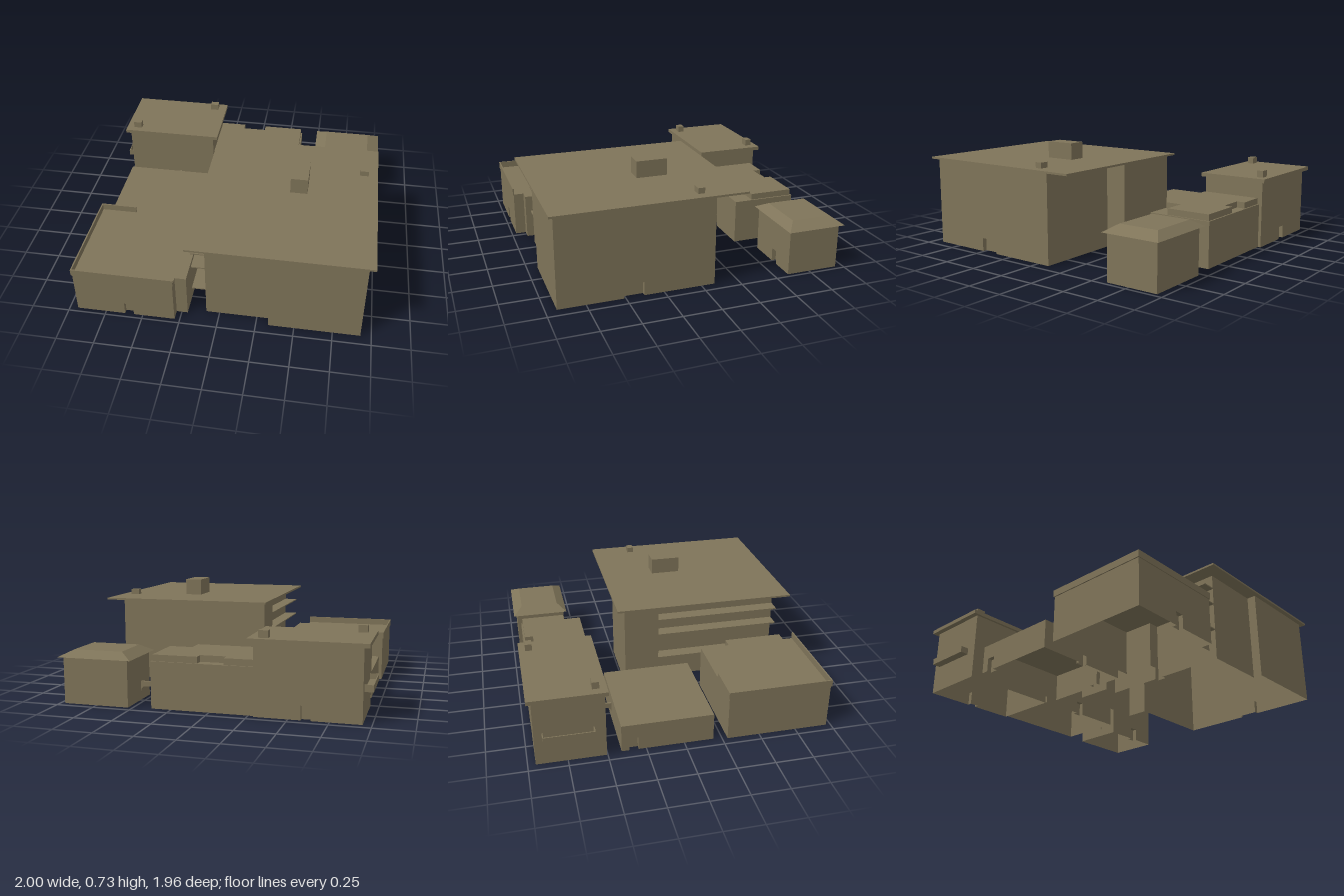
import * as THREE from 'three';
import { mergeGeometries } from 'three/addons/utils/BufferGeometryUtils.js';

const clay = new THREE.MeshStandardMaterial({ color: 0x7f7459, side: THREE.DoubleSide });
clay.name = 'clay';

const DOOR_W = 0.06, DOOR_H = 0.09, DOOR_DEPTH = 0.03;

// Footprint in order front, right, back, left
const rect = (x0, x1, z0, z1) => [[x0, z1], [x1, z1], [x1, z0], [x0, z0]];

function add(parent, name, geometry) {
  const mesh = new THREE.Mesh(geometry, clay);
  mesh.name = name;
  parent.add(mesh);
  return mesh;
}

function box(parent, name, x0, x1, y0, y1, z0, z1) {
  const g = new THREE.BoxGeometry(x1 - x0, y1 - y0, z1 - z0);
  g.translate((x0 + x1) / 2, (y0 + y1) / 2, (z0 + z1) / 2);
  return add(parent, name, g);
}

// Wall in its own plane, with a notch and a shallow recess for a door
function wallGeometry(length, y0, y1, door) {
  const s = new THREE.Shape();
  s.moveTo(0, y0);
  const pieces = [];
  if (door) {
    const w = door.width ?? DOOR_W, a = door.at - w / 2, b = a + w;
    s.lineTo(a, y0).lineTo(a, DOOR_H).lineTo(b, DOOR_H).lineTo(b, y0);
    pieces.push(new THREE.PlaneGeometry(w, DOOR_H).translate(door.at, DOOR_H / 2, -DOOR_DEPTH));
    pieces.push(new THREE.PlaneGeometry(w, DOOR_DEPTH).rotateX(Math.PI / 2)
      .translate(door.at, DOOR_H, -DOOR_DEPTH / 2));
    pieces.push(new THREE.PlaneGeometry(DOOR_DEPTH, DOOR_H).rotateY(Math.PI / 2)
      .translate(a, DOOR_H / 2, -DOOR_DEPTH / 2));
    pieces.push(new THREE.PlaneGeometry(DOOR_DEPTH, DOOR_H).rotateY(-Math.PI / 2)
      .translate(b, DOOR_H / 2, -DOOR_DEPTH / 2));
  }
  s.lineTo(length, y0).lineTo(length, y1).lineTo(0, y1).closePath();
  pieces.push(new THREE.ShapeGeometry(s));
  return mergeGeometries(pieces);
}

// Hollow block: walls and a flat top, open underneath; doors keyed by wall number
function shell(parent, name, points, y0, y1, doors = {}) {
  const pieces = points.map(([x, z], i) => {
    const [nx, nz] = points[(i + 1) % points.length];
    const dir = new THREE.Vector3(nx - x, 0, nz - z);
    const length = dir.length();
    dir.normalize();
    const up = new THREE.Vector3(0, 1, 0);
    const m = new THREE.Matrix4().makeBasis(dir, up, dir.clone().cross(up)).setPosition(x, 0, z);
    return wallGeometry(length, y0, y1, doors[i]).applyMatrix4(m);
  });
  const top = new THREE.Shape(points.map(([x, z]) => new THREE.Vector2(x, -z)));
  pieces.push(new THREE.ShapeGeometry(top).rotateX(-Math.PI / 2).translate(0, y1, 0));
  return add(parent, name, mergeGeometries(pieces));
}

// Thin linking wall with an arch below, running along x from the origin
function archGeometry(length) {
  const s = new THREE.Shape();
  const r = Math.min(0.04, length / 2);
  s.moveTo(0, 0.05).quadraticCurveTo(0, 0.092, r, 0.092);
  s.lineTo(length - r, 0.092).quadraticCurveTo(length, 0.092, length, 0.05);
  s.lineTo(length, 0.125).lineTo(0, 0.125).closePath();
  return new THREE.ExtrudeGeometry(s, { depth: 0.015, bevelEnabled: false, curveSegments: 6 })
    .translate(0, 0, -0.0075);
}

// Hipped roof with a flat top
function hipGeometry() {
  const low = rect(0.5, 1.0, -0.975, -0.575).map(([x, z]) => [x, 0.305, z]);
  const high = rect(0.58, 0.91, -0.91, -0.64).map(([x, z]) => [x, 0.35, z]);
  const pos = [];
  const quad = (a, b, c, d) => pos.push(...a, ...b, ...c, ...a, ...c, ...d);
  for (let i = 0; i < 4; i++) {
    const j = (i + 1) % 4;
    quad(low[i], low[j], high[j], high[i]);
  }
  quad(...high);
  quad(low[3], low[2], low[1], low[0]);
  const g = new THREE.BufferGeometry();
  g.setAttribute('position', new THREE.Float32BufferAttribute(pos, 3));
  g.computeVertexNormals();
  return g;
}

function group(parent, name) {
  const g = new THREE.Group();
  g.name = name;
  parent.add(g);
  return g;
}

export function createModel() {
  const model = new THREE.Group();
  model.name = 'buildingCompound';

  // Main hall with stepped footprint and side balconies
  const hall = group(model, 'mainHall');
  shell(hall, 'hallWalls', [
    [-0.09, 0.87], [0.33, 0.87], [0.33, 0.93], [0.93, 0.93], [0.93, -0.09],
    [0.33, -0.09], [0.33, -0.24], [-0.18, -0.24], [-0.18, 0], [-0.09, 0],
  ], 0, 0.6, { 3: { at: 0.485, width: 0.13 }, 9: { at: 0.4 } });
  box(hall, 'hallRoof', -0.2, 0.97, 0.6, 0.613, -0.29, 0.96);
  for (const y of [0.2, 0.385, 0.5]) box(hall, 'hallBalcony', -0.18, -0.09, y, y + 0.008, 0, 0.87);
  box(hall, 'roofHouse', 0.387, 0.503, 0.613, 0.725, 0.08, 0.287);
  box(hall, 'hallChimney', 0.845, 0.905, 0.613, 0.65, -0.02, 0.025);

  // Front left block with partial parapet and side annex
  const front = group(model, 'frontBlock');
  shell(front, 'frontWalls', [
    [-0.945, 0.97], [-0.285, 0.97], [-0.285, 0.9], [-0.21, 0.9],
    [-0.21, 0.49], [-0.285, 0.49], [-0.285, 0.285], [-0.945, 0.285],
  ], 0, 0.305, { 0: { at: 0.355 } });
  box(front, 'frontParapet', -0.952, -0.28, 0.305, 0.35, 0.967, 0.976);
  box(front, 'leftParapet', -0.952, -0.943, 0.305, 0.35, 0.28, 0.976);
  box(front, 'backParapet', -0.952, -0.7, 0.305, 0.35, 0.28, 0.289);

  // Low middle block
  const middle = group(model, 'middleBlock');
  shell(middle, 'middleWalls', rect(-0.93, -0.27, -0.41, 0.193), 0, 0.188,
    { 0: { at: 0.33 }, 1: { at: 0.2 }, 3: { at: 0.08 } });

  // Tall rear block with overhanging roof, chimneys and balcony
  const tower = group(model, 'tallBlock');
  shell(tower, 'tallWalls', rect(-0.945, -0.288, -0.95, -0.505), 0, 0.458, { 2: { at: 0.32 } });
  box(tower, 'tallRoof', -0.98, -0.252, 0.458, 0.484, -0.98, -0.487);
  box(tower, 'tallChimney', -0.925, -0.865, 0.484, 0.53, -0.58, -0.535);
  box(tower, 'tallChimney', -0.375, -0.315, 0.484, 0.53, -0.937, -0.892);
  box(tower, 'balconyFloor', -1, -0.945, 0.185, 0.193, -0.9, -0.577);
  box(tower, 'balconyRail', -1, -0.994, 0.193, 0.228, -0.9, -0.577);
  for (const z of [-0.9, -0.583]) box(tower, 'balconyEnd', -0.994, -0.945, 0.193, 0.228, z, z + 0.006);

  // Rear centre block with a raised, notched roof
  const rear = group(model, 'rearBlock');
  shell(rear, 'rearWalls', rect(-0.288, 0.38, -0.93, -0.488), 0, 0.303, { 0: { at: 0.33 } });
  shell(rear, 'raisedRoof', [
    [-0.28, -0.503], [0.212, -0.503], [0.212, -0.615], [0.37, -0.615], [0.37, -0.92],
    [0.075, -0.92], [0.075, -0.862], [-0.095, -0.862], [-0.095, -0.92], [-0.28, -0.92],
  ], 0.303, 0.345);

  // Small house with hipped roof
  const house = group(model, 'smallHouse');
  shell(house, 'houseWalls', rect(0.53, 0.97, -0.95, -0.595), 0, 0.305, { 0: { at: 0.245 } });
  add(house, 'hippedRoof', hipGeometry());

  // Arched links between the blocks
  const links = [[-0.27, -0.158, 0.09, 0], [0.38, -0.732, 0.15, 0], [-0.557, -0.41, 0.095, Math.PI / 2]];
  for (const [x, z, length, turn] of links) {
    const link = add(model, 'archedLink', archGeometry(length));
    link.position.set(x, 0, z);
    link.rotation.y = turn;
  }
  return model;
}
